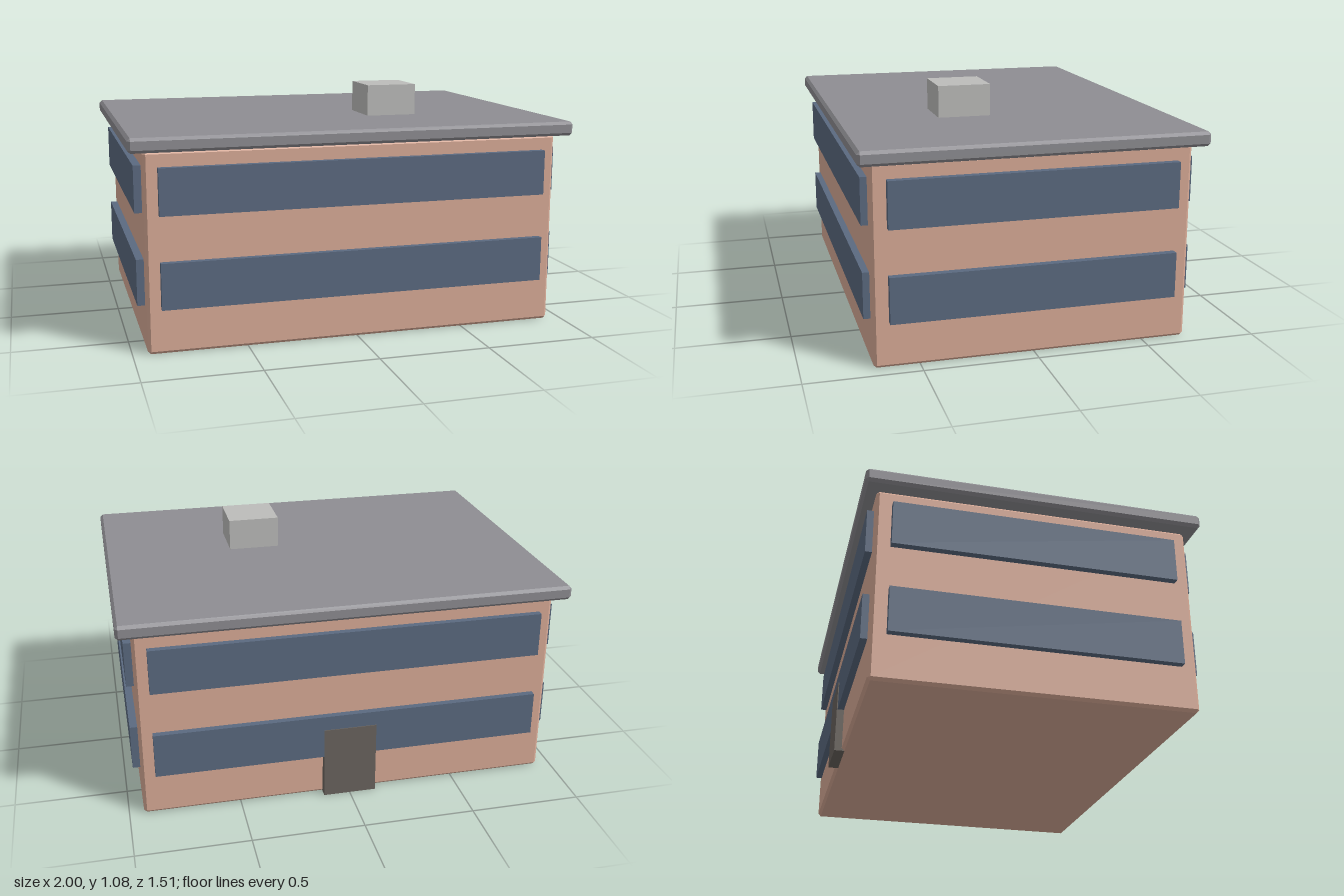
import * as THREE from 'three';
import { ConvexGeometry } from 'three/addons/geometries/ConvexGeometry.js';

const mat = (color) => new THREE.MeshStandardMaterial({ color, flatShading: true });

// Box with every edge cut by a small flat chamfer, centred on the origin
function chamferedBox(w, h, d, c) {
  const points = [];
  for (const sx of [-1, 1]) for (const sy of [-1, 1]) for (const sz of [-1, 1]) {
    const x = w / 2, y = h / 2, z = d / 2;
    points.push(
      new THREE.Vector3(sx * x, sy * (y - c), sz * (z - c)),
      new THREE.Vector3(sx * (x - c), sy * y, sz * (z - c)),
      new THREE.Vector3(sx * (x - c), sy * (y - c), sz * z),
    );
  }
  return new ConvexGeometry(points);
}

export function createModel() {
  const building = new THREE.Group();
  building.name = 'officeBuilding';

  function add(name, geometry, material, x, y, z, parent = building) {
    const mesh = new THREE.Mesh(geometry, material);
    mesh.name = name;
    mesh.position.set(x, y, z);
    parent.add(mesh);
  }

  // Brick block and overhanging roof slab
  add('walls', chamferedBox(1.87, 0.876, 1.395, 0.013), mat(0xd9ab97), 0, 0.438, 0);
  add('roofSlab', chamferedBox(2, 0.064, 1.506, 0.013), mat(0x8e8d92), 0, 0.908, 0);

  // Two rows of ribbon windows on all four sides
  const glass = mat(0x5b6a80);
  const windows = new THREE.Group();
  windows.name = 'windows';
  building.add(windows);
  const longPane = new THREE.BoxGeometry(1.75, 0.203, 0.06);
  const shortPane = new THREE.BoxGeometry(0.06, 0.203, 1.26);
  for (const y of [0.303, 0.707]) {
    for (const side of [-1, 1]) {
      add(side > 0 ? 'frontWindow' : 'backWindow', longPane, glass, 0, y, side * 0.697, windows);
      add(side > 0 ? 'leftWindow' : 'rightWindow', shortPane, glass, side * 0.938, y, 0, windows);
    }
  }

  // Entrance at the back, rooftop service unit
  add('door', new THREE.BoxGeometry(0.24, 0.338, 0.06), mat(0x6a645e), 0, 0.169, -0.701);
  add('rooftopUnit', new THREE.BoxGeometry(0.236, 0.145, 0.24), mat(0xbcbcba), 0.288, 1.011, 0.175);

  return building;
}
